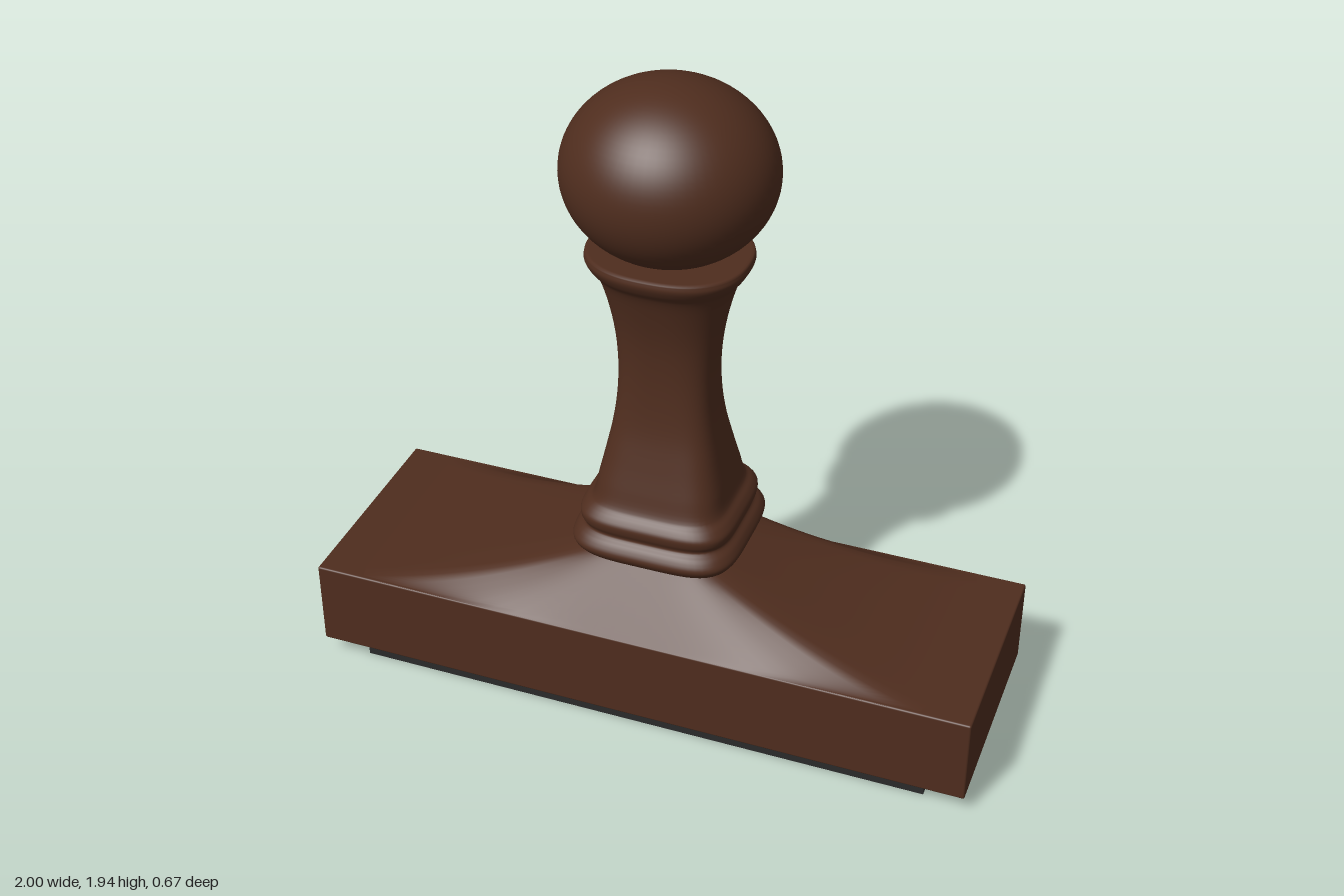
import * as THREE from 'three';
import { RoundedBoxGeometry } from 'three/addons/geometries/RoundedBoxGeometry.js';

const SEGMENTS = 96;

// Unit superellipse point at angle t: n = 2 is round, larger n is squarer
function squircle(t, n) {
  const c = Math.cos(t), s = Math.sin(t);
  const k = Math.pow(Math.pow(Math.abs(c), n) + Math.pow(Math.abs(s), n), -1 / n);
  return [c * k, s * k];
}

// Skin of closed rings, from bottom to top; point(row, angle) gives [x, y, z]
function loft(rows, point) {
  const positions = [], index = [];
  for (let j = 0; j < rows; j++) {
    for (let i = 0; i < SEGMENTS; i++) {
      positions.push(...point(j, (i / SEGMENTS) * Math.PI * 2));
      if (j === rows - 1) continue;
      const a = j * SEGMENTS + i, b = j * SEGMENTS + (i + 1) % SEGMENTS;
      index.push(a, a + SEGMENTS, b, b, a + SEGMENTS, b + SEGMENTS);
    }
  }
  const geometry = new THREE.BufferGeometry();
  geometry.setAttribute('position', new THREE.Float32BufferAttribute(positions, 3));
  geometry.setIndex(index);
  geometry.computeVertexNormals();
  return geometry;
}

// Handle: turned profile, squarish at the foot and rounder at the collar
function handleGeometry() {
  // [half width x, height, half depth z]
  const profile = [
    [0.2, 0.49, 0.185], [0.215, 0.505, 0.2], [0.24, 0.525, 0.225], [0.251, 0.55, 0.237],
    [0.24, 0.575, 0.225], [0.221, 0.595, 0.206], [0.229, 0.615, 0.213], [0.23, 0.635, 0.215],
    [0.218, 0.655, 0.203], [0.198, 0.675, 0.185], [0.184, 0.74, 0.165], [0.167, 0.82, 0.143],
    [0.15, 0.91, 0.122], [0.14, 1.0, 0.111], [0.139, 1.1, 0.108], [0.149, 1.2, 0.116],
    [0.17, 1.3, 0.138], [0.195, 1.375, 0.163], [0.218, 1.405, 0.185], [0.23, 1.43, 0.196],
    [0.228, 1.446, 0.194],
  ];
  const curve = new THREE.CatmullRomCurve3(profile.map((p) => new THREE.Vector3(...p)));
  const rings = curve.getPoints(100);
  // flat top of the collar
  for (const k of [0.985, 0.95, 0.001]) rings.push(new THREE.Vector3(0.228 * k, 1.45, 0.194 * k));
  return loft(rings.length, (j, t) => {
    const r = rings[j];
    const n = THREE.MathUtils.lerp(4.2, 2.4, THREE.MathUtils.smoothstep(r.y, 0.6, 1.42));
    const [x, z] = squircle(t, n);
    return [x * r.x, r.y, z * r.z];
  });
}

// Shoulder: sweeps down from the handle foot, concave lengthwise, straight across
function shoulderGeometry() {
  const rows = 25;
  return loft(rows, (j, t) => {
    const s = 1 - j / (rows - 1);
    const [ix, iz] = squircle(t, 4.2);
    const [ox, oz] = squircle(t, 60);
    const power = 1.75 - 0.75 * THREE.MathUtils.smoothstep(Math.abs(Math.sin(t)), 0.7, 1);
    return [
      THREE.MathUtils.lerp(ix * 0.21, ox * 0.9, s),
      0.329 + 0.173 * Math.pow(1 - s, power),
      THREE.MathUtils.lerp(iz * 0.19, oz * 0.33, s),
    ];
  });
}

export function createModel() {
  const group = new THREE.Group();
  const wood = new THREE.MeshStandardMaterial({ color: 0x4f2d1e });
  const rubber = new THREE.MeshStandardMaterial({ color: 0x2a2a2a });

  const add = (name, geometry, material, y = 0) => {
    const mesh = new THREE.Mesh(geometry, material);
    mesh.name = name;
    mesh.position.y = y;
    group.add(mesh);
    return mesh;
  };

  add('stampPad', new THREE.BoxGeometry(1.75, 0.07, 0.58), rubber, 0.035);
  add('baseBlock', new RoundedBoxGeometry(2, 0.27, 0.665, 3, 0.006), wood, 0.195);
  add('shoulder', shoulderGeometry(), wood);
  add('handle', handleGeometry(), wood);

  // Slightly flattened ball on top of the collar
  const knob = add('knob', new THREE.SphereGeometry(1, 64, 40), wood, 1.685);
  knob.scale.set(0.298, 0.255, 0.284);
  return group;
}
